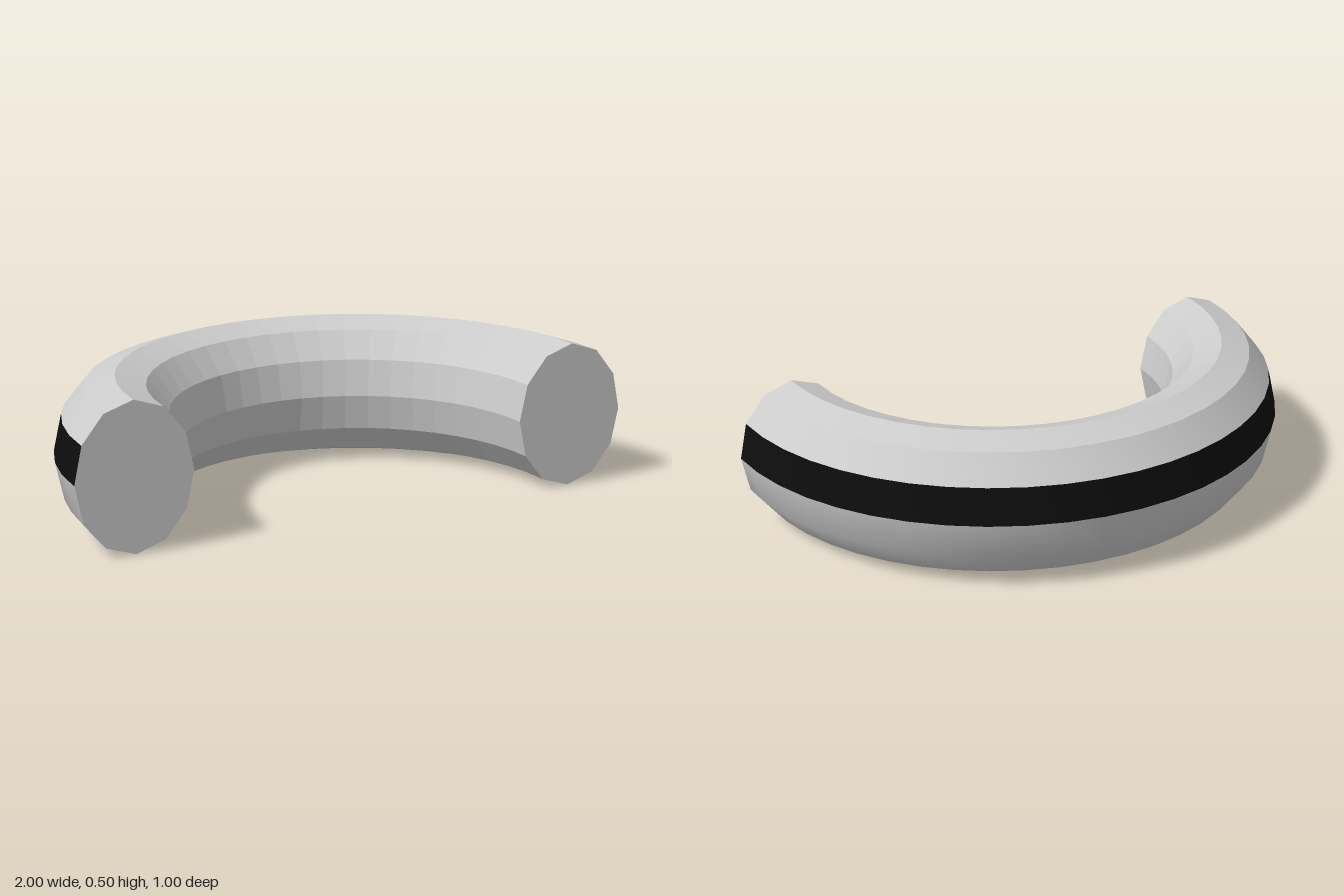
import * as THREE from 'three';
import { toCreasedNormals } from 'three/addons/utils/BufferGeometryUtils.js';

const RING = 0.8, RX = 0.2, RY = 0.25, SIDES = 12, ARC_STEPS = 24;

// Corner i of the twelve-sided oval section, counted from the outer rim upwards
function corner(i, centre = RING) {
  const a = (i / SIDES) * Math.PI * 2;
  return new THREE.Vector2(centre + RX * Math.cos(a), RY + RY * Math.sin(a));
}

// Sweep section corners from..to around the back half circle
function sweep(name, from, to, crease, material) {
  const points = [];
  for (let i = from; i <= to; i++) points.push(corner(i));
  const lathe = new THREE.LatheGeometry(points, ARC_STEPS, Math.PI / 2, Math.PI);
  const mesh = new THREE.Mesh(toCreasedNormals(lathe, crease), material);
  mesh.name = name;
  mesh.position.z = 0.5;
  return mesh;
}

export function createModel() {
  const grey = new THREE.MeshStandardMaterial({ color: 0xcccccc });
  grey.name = 'light grey';
  const black = new THREE.MeshStandardMaterial({ color: 0x0d0d0d });
  black.name = 'black';

  const group = new THREE.Group();
  group.name = 'halfRing';

  // Tube surface: smooth outside, faceted inside, with a stripe above the rim
  const soft = Math.PI / 6, sharp = 0.02;
  group.add(
    sweep('outerLower', -3, 0, soft, grey),
    sweep('stripe', 0, 1, soft, black),
    sweep('outerUpper', 1, 3, soft, grey),
    sweep('innerSurface', 3, 9, sharp, grey),
  );

  // Flat end caps
  const section = [];
  for (let i = 0; i < SIDES; i++) section.push(corner(i, 0));
  const capGeometry = new THREE.ShapeGeometry(new THREE.Shape(section));
  for (const [name, side] of [['leftEnd', 1], ['rightEnd', -1]]) {
    const cap = new THREE.Mesh(capGeometry, grey);
    cap.name = name;
    cap.position.set(side * RING, 0, 0.5);
    group.add(cap);
  }
  return group;
}
